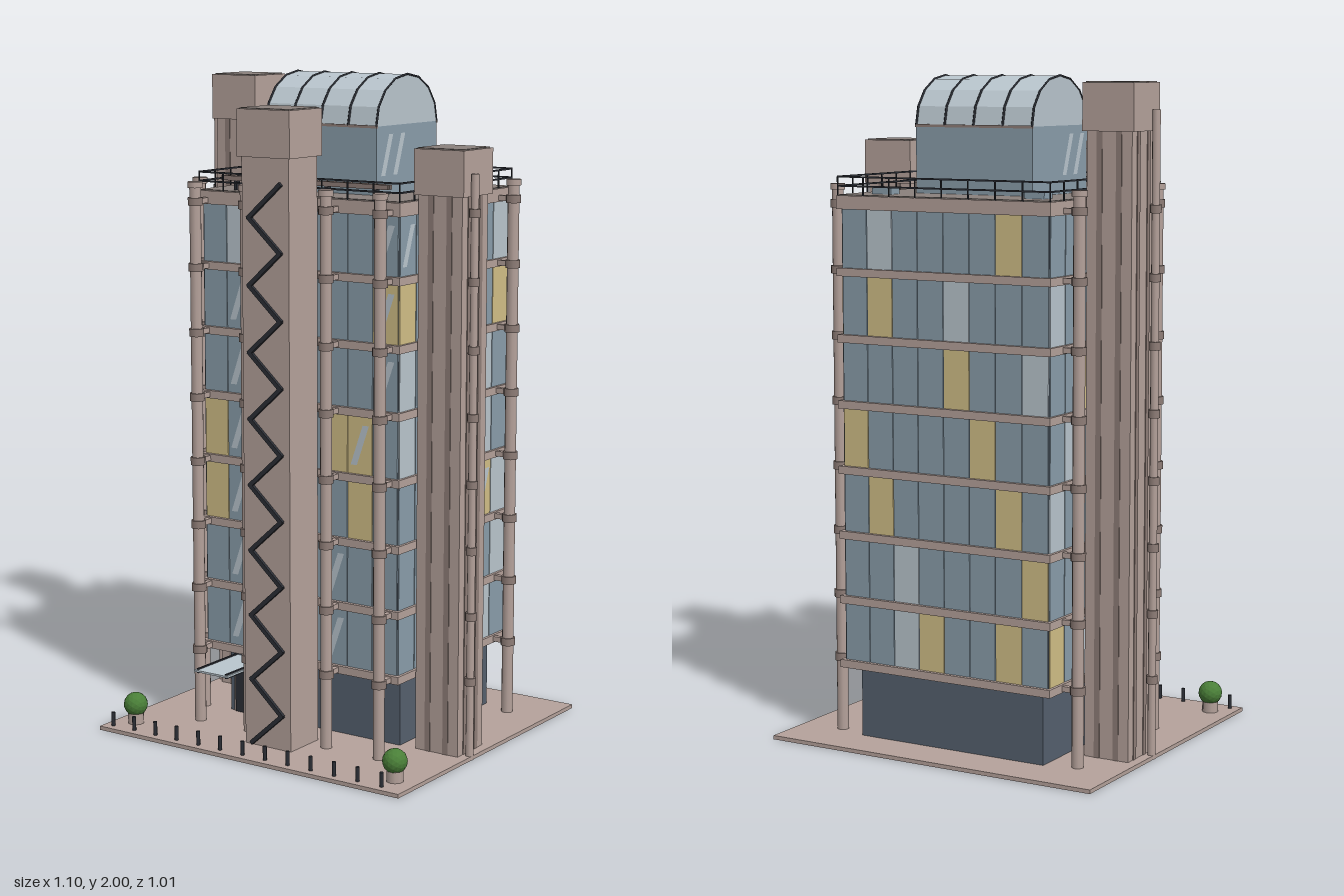
import * as THREE from 'three';

const mat = (name, color) => {
  const m = new THREE.MeshStandardMaterial({ color });
  m.name = name;
  return m;
};
const M = {
  concrete: mat('concrete', 0xb5a29b),
  roof: mat('roof grey', 0x8a817c),
  blue: mat('blue glass', 0x8a9eab),
  pale: mat('pale glass', 0xbac6ce),
  lit: mat('lit window', 0xd2bf87),
  lobby: mat('lobby glass', 0x55606e),
  dark: mat('dark metal', 0x2b2e35),
  pipe: mat('taupe joint', 0x8f7e78),
  leaf: mat('foliage', 0x4a7f38),
};

// Storey and plan dimensions
const FLOORS = 7, STEP = 0.197, BASE = 0.24, ROOF = 1.65;
const CZ = -0.0925, HX = 0.35, HZ = 0.3025;

// Window rows per face, top storey first, left to right from outside:
// b blue, p pale, y lit; capitals carry a reflection
const FACADES = [
  { name: 'frontFacade', angle: 0, half: HX, out: HZ, rows: ['bpBbbbbB', 'bBbbbbbY', 'bBybbbbB', 'yBbbbyYb', 'yBbbbbyb', 'bBpbbBbb', 'bBbbbBbb'] },
  { name: 'plusXFacade', angle: Math.PI / 2, half: HZ, out: HX, rows: ['BbbpBbp', 'ybyYBby', 'pbbpypb', 'pbbBbpb', 'bbbpbYp', 'bbypbbp', 'bbppbpb'] },
  { name: 'backFacade', angle: Math.PI, half: HX, out: HZ, rows: ['bpbbbbyb', 'bybbpbbb', 'bbbbybbp', 'ybbbbybb', 'bybbbbyb', 'bbpbbbby', 'bbpybbyb'] },
  { name: 'minusXFacade', angle: -Math.PI / 2, half: HZ, out: HX, rows: ['bbpbbyb', 'pbbybbb', 'bbybbpb', 'bpbbbyb', 'pbbbbbB', 'bbbybpb', 'ybpbbbb'] },
];

function add(parent, name, geo, material, x = 0, y = 0, z = 0) {
  const mesh = new THREE.Mesh(geo, material);
  mesh.name = name;
  mesh.position.set(x, y, z);
  parent.add(mesh);
  return mesh;
}
// Box given by its extents
function box(parent, name, material, x0, x1, y0, y1, z0, z1) {
  return add(parent, name, new THREE.BoxGeometry(x1 - x0, y1 - y0, z1 - z0), material, (x0 + x1) / 2, (y0 + y1) / 2, (z0 + z1) / 2);
}
// Upright cylinder standing at y0
function post(parent, name, material, r, x, y0, y1, z, sides = 10) {
  return add(parent, name, new THREE.CylinderGeometry(r, r, y1 - y0, sides), material, x, (y0 + y1) / 2, z);
}
function group(parent, name) {
  const g = new THREE.Group();
  g.name = name;
  parent.add(g);
  return g;
}
function flat(geo) {
  const g = geo.index ? geo.toNonIndexed() : geo;
  g.computeVertexNormals();
  return g;
}

// Slanted reflection on a pane
const slash = new THREE.ShapeGeometry(new THREE.Shape([
  new THREE.Vector2(-0.032, -0.06), new THREE.Vector2(-0.01, -0.06),
  new THREE.Vector2(0.032, 0.06), new THREE.Vector2(0.01, 0.06),
]));

function facade(parent, { name, angle, half, out, rows }) {
  const g = group(parent, name);
  g.position.z = CZ;
  g.rotation.y = angle;
  const n = rows[0].length, w = (2 * half) / n;
  const pane = new THREE.BoxGeometry(w - 0.003, STEP - 0.02, 0.006);
  rows.forEach((row, r) => [...row].forEach((c, i) => {
    const x = -half + w * (i + 0.5), y = BASE + STEP * (FLOORS - r - 0.5);
    const kind = { b: M.blue, p: M.pale, y: M.lit }[c.toLowerCase()];
    add(g, 'windowPane', pane, kind, x, y, out);
    if (c !== c.toLowerCase()) add(g, 'reflection', slash, M.pale, x, y, out + 0.005);
  }));
}

// Service tower: shaft, wider cap with grey top, grooves on the exposed faces
function tower(parent, name, x0, x1, z0, z1, capY, topY, grooved) {
  const g = group(parent, name), i = 0.01;
  const cx = (x0 + x1) / 2, cz = (z0 + z1) / 2;
  box(g, 'shaft', M.concrete, x0 + i, x1 - i, 0, capY, z0 + i, z1 - i);
  box(g, 'cap', M.concrete, x0, x1, capY, topY - 0.003, z0, z1);
  box(g, 'capTop', M.roof, x0 + 0.007, x1 - 0.007, topY - 0.003, topY, z0 + 0.007, z1 - 0.007);
  if (!grooved) return;
  for (const d of [-0.031, 0.031]) {
    for (const z of [z0 + i, z1 - i]) box(g, 'groove', M.pipe, cx + d - 0.009, cx + d + 0.009, 0.01, capY, z - 0.002, z + 0.002);
    const x = cx > 0 ? x1 - i : x0 + i;
    box(g, 'groove', M.pipe, x - 0.002, x + 0.002, 0.01, capY, cz + d - 0.009, cz + d + 0.009);
  }
}

// Column or riser with a collar at each floor
function collared(parent, name, x, z, r, top) {
  const g = group(parent, name);
  post(g, 'shaft', M.concrete, r, x, 0, top, z);
  for (let i = 0; i <= FLOORS; i++) {
    const y = BASE + STEP * i;
    post(g, 'collar', M.pipe, r + 0.005, x, y - 0.012, y + 0.012, z);
  }
  return g;
}

export function createModel() {
  const root = new THREE.Group();
  root.name = 'officeTower';

  // Plaza
  box(root, 'plaza', M.concrete, -0.546, 0.546, 0, 0.012, -0.505, 0.505);
  for (let i = 0; i < 13; i++) post(root, 'bollard', M.dark, 0.006, -0.515 + i * 0.0822, 0.01, 0.055, 0.477, 8);
  for (const x of [-0.476, 0.476]) {
    post(root, 'planter', M.concrete, 0.025, x, 0.01, 0.045, 0.415);
    add(root, 'shrub', flat(new THREE.IcosahedronGeometry(0.037, 2)), M.leaf, x, 0.072, 0.415);
  }

  // Recessed lobby with door and canopy
  box(root, 'lobby', M.lobby, -0.315, 0.315, 0.01, BASE, -0.365, 0.14);
  box(root, 'doorFrame', M.pipe, -0.3, -0.18, 0.012, 0.158, 0.14, 0.144);
  for (const x of [-0.267, -0.213]) box(root, 'doorLeaf', M.dark, x - 0.025, x + 0.025, 0.012, 0.15, 0.143, 0.148);
  const canopy = group(root, 'canopy');
  box(canopy, 'canopyGlass', M.pale, -0.3, -0.174, 0.188, 0.194, 0.14, 0.348);
  for (const x of [-0.291, -0.183]) box(canopy, 'canopyBar', M.dark, x - 0.003, x + 0.003, 0.183, 0.198, 0.14, 0.342);

  // Glazed body and floor bands
  box(root, 'bodyCore', M.lobby, -HX, HX, BASE, 1.62, CZ - HZ, CZ + HZ);
  FACADES.forEach((f) => facade(root, f));
  for (let i = 0; i <= FLOORS; i++) {
    const y = BASE + STEP * i;
    box(root, 'floorBand', M.concrete, -0.362, 0.362, y - 0.012, i === FLOORS ? ROOF - 0.003 : y + 0.012, -0.41, 0.225);
  }
  box(root, 'roofDeck', M.roof, -0.355, 0.355, ROOF - 0.003, ROOF, -0.403, 0.218);

  // Service towers and their risers
  tower(root, 'tallSideTower', -0.525, -0.36, -0.226, -0.066, 1.84, 1.98, true);
  tower(root, 'shortSideTower', 0.358, 0.525, -0.013, 0.147, 1.665, 1.8, true);
  tower(root, 'stairTower', -0.093, 0.093, 0.225, 0.387, 1.77, 1.91, false);
  collared(root, 'tallRiser', -0.536, -0.108, 0.012, 1.9);
  collared(root, 'shortRiser', 0.536, 0.103, 0.012, 1.73);

  // Zigzag stair on the front tower
  const stair = group(root, 'zigzagStair'), rise = 0.0985, run = 0.11;
  const flight = new THREE.BoxGeometry(Math.hypot(rise, run) + 0.008, 0.013, 0.012);
  for (let i = 0; i < 17; i++) {
    const f = add(stair, 'stairFlight', flight, M.dark, 0, 0.02 + rise * (i + 0.5), 0.381);
    f.rotation.z = Math.atan2(rise, run) * (i % 2 ? -1 : 1);
  }

  // Outer columns tied back to each floor
  const columns = [[-0.33, 0.278], [-0.143, 0.278], [0.143, 0.278], [0.33, 0.278], [-0.41, 0.15], [-0.41, -0.33], [0.41, -0.33]];
  for (const [x, z] of columns) {
    const g = collared(root, 'column', x, z, 0.018, 1.678);
    post(g, 'columnTop', M.concrete, 0.023, x, 1.66, 1.678, z);
    for (let i = 0; i <= FLOORS; i++) {
      const y = BASE + STEP * i, s = Math.sign(x);
      if (z > 0.2) box(g, 'bracket', M.concrete, x - 0.008, x + 0.008, y - 0.008, y + 0.008, 0.22, z);
      else box(g, 'bracket', M.concrete, Math.min(s * 0.36, x), Math.max(s * 0.36, x), y - 0.008, y + 0.008, z - 0.008, z + 0.008);
    }
  }

  // Roof railing
  const rail = group(root, 'roofRailing'), t = 0.0025, z0 = -0.406, z1 = 0.221;
  for (const y of [1.675, 1.702]) {
    for (const z of [z0, z1]) box(rail, 'railBar', M.dark, -0.358, 0.358, y - t, y + t, z - t, z + t);
    for (const x of [-0.358, 0.358]) box(rail, 'railBar', M.dark, x - t, x + t, y - t, y + t, z0, z1);
  }
  for (let i = 0; i <= 8; i++) {
    for (const z of [z0, z1]) post(rail, 'railPost', M.dark, t, -0.358 + i * 0.0895, 1.64, 1.702, z, 6);
    for (const x of [-0.358, 0.358]) post(rail, 'railPost', M.dark, t, x, 1.64, 1.702, z0 + (i * (z1 - z0)) / 8, 6);
  }

  // Roof rails and skylights
  for (const z of [0.169, 0.184]) box(root, 'cradleRail', M.pipe, -0.298, 0.295, 1.678, 1.692, z - 0.005, z + 0.005);
  for (const x of [-0.25, -0.08, 0.08, 0.25]) box(root, 'cradleSupport', M.dark, x - 0.005, x + 0.005, ROOF, 1.68, 0.168, 0.186);
  for (const [x, z] of [[-0.265, -0.311], [0.25, -0.314]]) box(root, 'skylight', M.blue, x - 0.033, x + 0.033, ROOF, 1.668, z - 0.023, z + 0.023);

  // Barrel-vaulted rooftop hall
  const hall = group(root, 'rooftopHall'), r = 0.163, cz = -0.065, squash = 0.145 / r;
  box(hall, 'hallWalls', M.blue, -0.198, 0.198, ROOF, 1.85, cz - r, cz + r);
  const vault = flat(new THREE.CylinderGeometry(r, r, 0.396, 8, 1, false, 0, Math.PI).rotateZ(Math.PI / 2).scale(1, squash, 1));
  add(hall, 'vault', vault, M.pale, 0, 1.85, cz);
  const rib = new THREE.TorusGeometry(r + 0.001, 0.004, 4, 8, Math.PI).rotateY(Math.PI / 2).scale(1, squash, 1);
  for (let i = 0; i < 5; i++) add(hall, 'vaultRib', rib, M.dark, -0.197 + i * 0.0985, 1.85, cz);
  for (const s of [-1, 1]) {
    box(hall, 'eaves', M.pipe, -0.2, 0.2, 1.845, 1.853, cz + s * r - 0.003, cz + s * r + 0.003);
    for (const z of [-0.02, 0.045]) {
      const m = add(hall, 'reflection', slash, M.pale, s * 0.2, 1.765, z);
      m.rotation.y = (s * Math.PI) / 2;
    }
  }
  return root;
}
